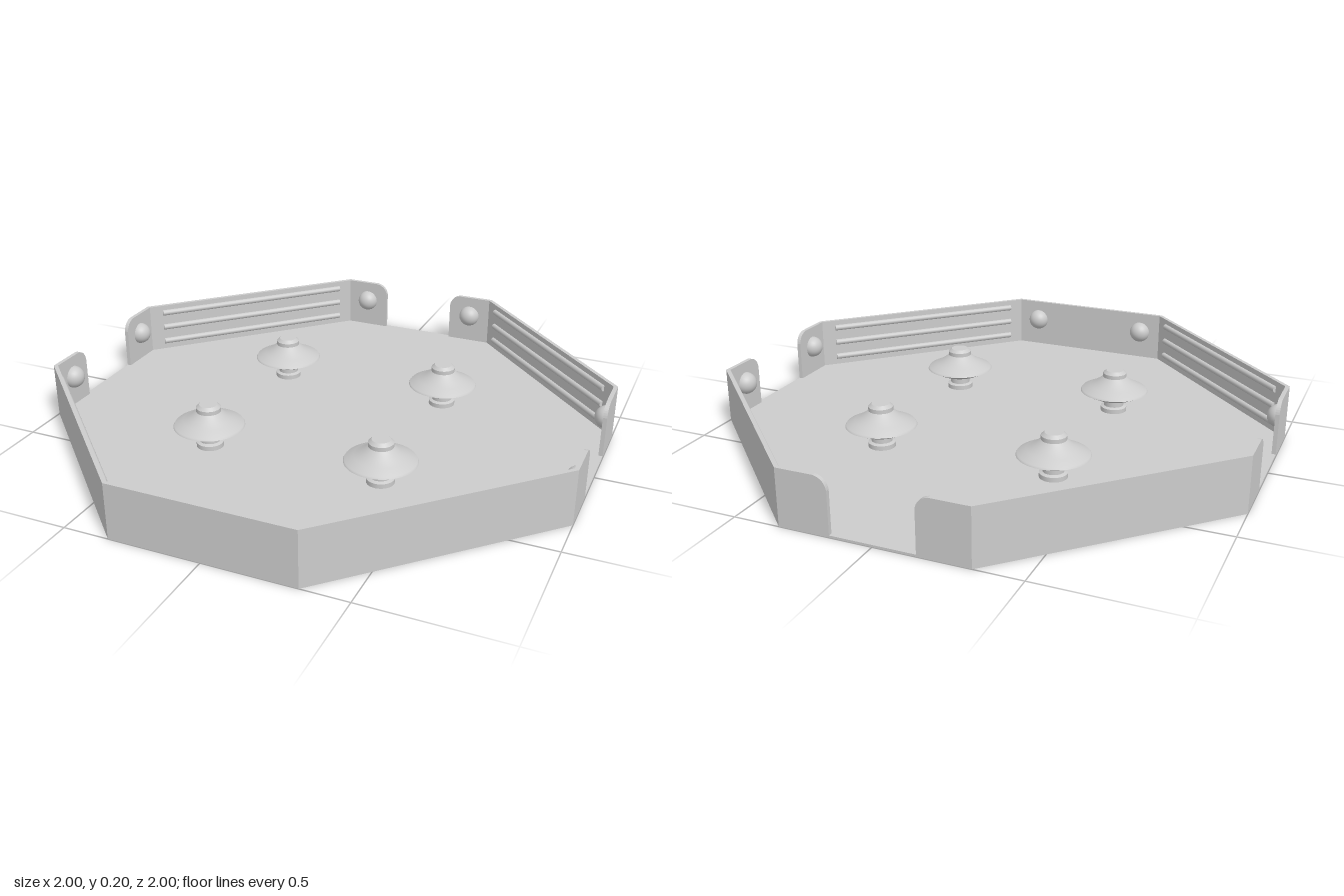
import * as THREE from 'three';

const HALF = 0.333;          // half length of the four straight sides
const H = 0.205;             // wall height
const T = 0.015;             // wall thickness
const FLOOR = 0.008;
const GAP = 0.15;            // half width of an opening
const MITRE = T * Math.tan(Math.PI / 8);

export function createModel() {
  const model = new THREE.Group();
  const mat = new THREE.MeshStandardMaterial({ color: 0xcccccc });

  const add = (parent, geometry, name, x = 0, y = 0, z = 0) => {
    const mesh = new THREE.Mesh(geometry, mat);
    mesh.name = name;
    mesh.position.set(x, y, z);
    parent.add(mesh);
    return mesh;
  };

  // Wall panel: outer face at z = T, inner ends mitred at the octagon corners
  const panel = (shape, half) => {
    const geo = new THREE.ExtrudeGeometry(shape, { depth: T, bevelEnabled: false, curveSegments: 8 });
    const p = geo.attributes.position;
    for (let i = 0; i < p.count; i++) {
      const x = p.getX(i);
      if (p.getZ(i) < T / 2 && Math.abs(x) > half - 1e-4) p.setX(i, x - Math.sign(x) * MITRE);
    }
    geo.computeVertexNormals();
    return geo;
  };

  const fullShape = (half) => new THREE.Shape([
    new THREE.Vector2(-half, 0), new THREE.Vector2(half, 0),
    new THREE.Vector2(half, H), new THREE.Vector2(-half, H),
  ]);

  // Short panel beside an opening, with a rounded top corner
  const stubShape = (s) => {
    const r = 0.045;
    const shape = new THREE.Shape();
    shape.moveTo(s * GAP, 0);
    shape.lineTo(s * HALF, 0);
    shape.lineTo(s * HALF, H);
    shape.lineTo(s * (GAP + r), H);
    shape.quadraticCurveTo(s * (GAP + r * 0.15), H - r * 0.15, s * GAP, H - r);
    shape.closePath();
    return shape;
  };

  // Floor
  const outline = [[HALF, 1], [1, HALF], [1, -HALF], [HALF, -1], [-HALF, -1], [-1, -HALF], [-1, HALF], [-HALF, 1]];
  const floorGeo = new THREE.ExtrudeGeometry(
    new THREE.Shape(outline.map(([x, y]) => new THREE.Vector2(x, y))),
    { depth: FLOOR, bevelEnabled: false });
  floorGeo.rotateX(-Math.PI / 2);
  add(model, floorGeo, 'floor');

  // Eight sides, starting at the front
  const diagHalf = (1 - HALF) / Math.SQRT2;
  const diagDistance = (1 + HALF) / Math.SQRT2;
  for (let i = 0; i < 8; i++) {
    const side = new THREE.Group();
    side.name = 'side';
    side.rotation.y = i * Math.PI / 4;
    model.add(side);

    if (i % 2) {
      // Diagonal wall with three rails
      add(side, panel(fullShape(diagHalf), diagHalf), 'diagonalWall', 0, 0, diagDistance - T);
      for (const y of [0.043, 0.108, 0.173]) {
        const rail = add(side, new THREE.CylinderGeometry(0.012, 0.012, 0.82, 12), 'rail', 0, y, diagDistance - T);
        rail.rotation.z = Math.PI / 2;
      }
    } else {
      // Straight wall: closed at the front, open on the other three sides
      if (i === 0) add(side, panel(fullShape(HALF), HALF), 'frontWall', 0, 0, 1 - T);
      else for (const s of [-1, 1]) add(side, panel(stubShape(s), HALF), 'openingWall', 0, 0, 1 - T);
      // Domed studs on the inner face
      for (const s of [-1, 1]) {
        const stud = new THREE.SphereGeometry(0.043, 24, 12, 0, Math.PI * 2, 0, Math.PI / 2);
        stud.rotateX(-Math.PI / 2);
        add(side, stud, 'stud', s * 0.24, 0.122, 1 - T);
      }
    }
  }

  // Bumpers: foot, stem, flared disc and bevelled cap; each band keeps its own edges
  const bands = [
    [[0.05, FLOOR], [0.05, 0.025]],
    [[0.05, 0.025], [0.038, 0.03]],
    [[0.038, 0.03], [0.038, 0.055]],
    [[0.038, 0.055], [0.085, 0.068], [0.13, 0.09]],
    [[0.13, 0.09], [0.126, 0.097], [0.095, 0.112], [0.065, 0.13], [0.045, 0.148]],
    [[0.045, 0.148], [0.045, 0.163]],
    [[0.045, 0.163], [0.033, 0.174]],
    [[0.033, 0.174], [0, 0.174]],
  ].map((pts) => new THREE.LatheGeometry(pts.map(([r, y]) => new THREE.Vector2(r, y)), 40));
  for (const x of [-HALF, HALF]) for (const z of [-HALF, HALF]) {
    const bumper = new THREE.Group();
    bumper.name = 'bumper';
    bumper.position.set(x, 0, z);
    bands.forEach((geo) => add(bumper, geo, 'bumperBand'));
    model.add(bumper);
  }

  return model;
}
